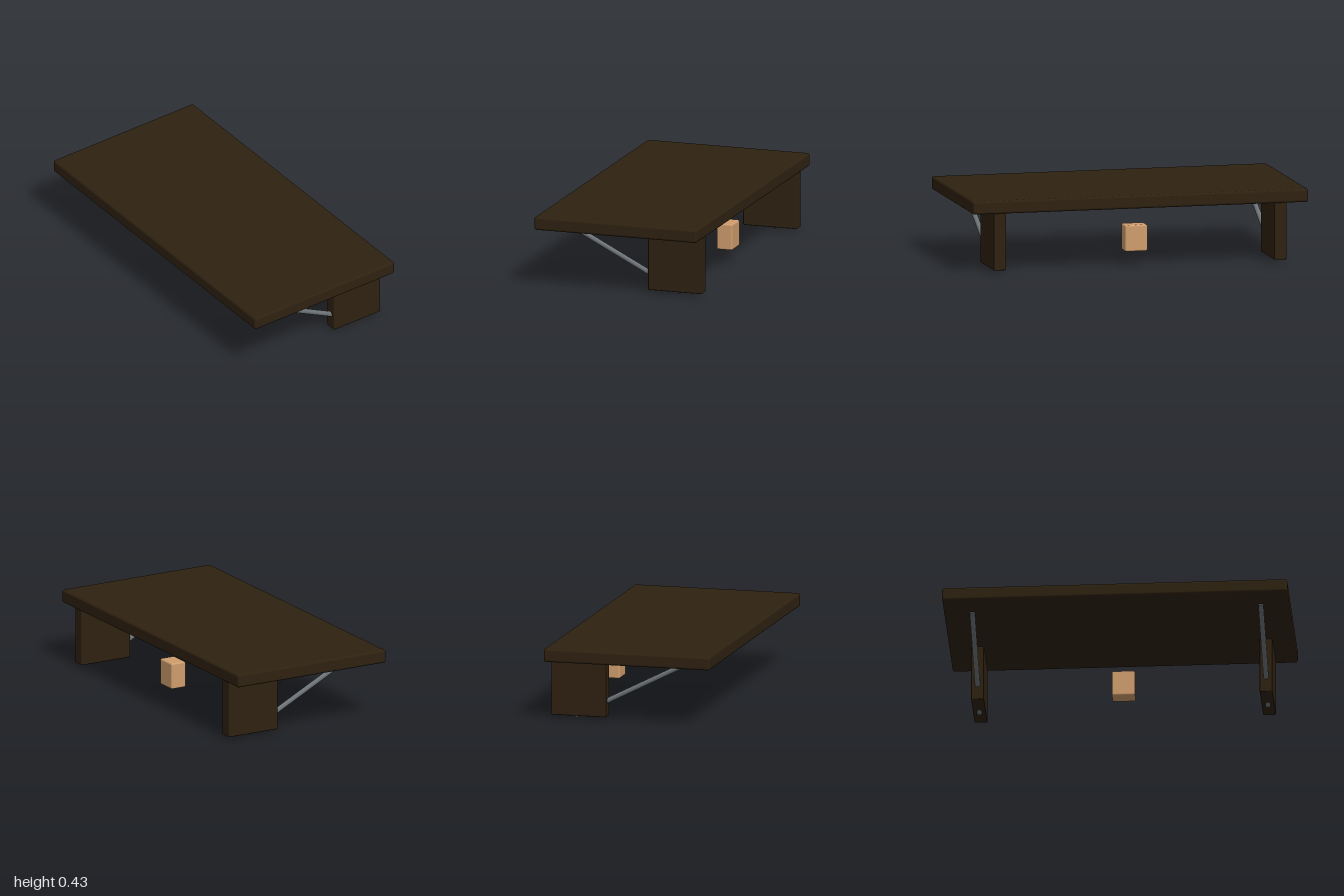
import * as THREE from 'three';
import { RoundedBoxGeometry } from 'three/addons/geometries/RoundedBoxGeometry.js';

export function createModel() {
  const model = new THREE.Group();
  model.name = 'wallShelf';

  const material = (name, color) => {
    const m = new THREE.MeshStandardMaterial({ color });
    m.name = name;
    return m;
  };
  const darkWood = material('darkWood', 0x2e2110);
  const paleWood = material('paleWood', 0xcf9d6d);
  const steel = material('steel', 0x6c7276);

  // Softly rounded block given by its minimum and maximum corners
  const block = (name, mat, min, max, radius) => {
    const size = max.map((v, i) => v - min[i]);
    const mesh = new THREE.Mesh(new RoundedBoxGeometry(...size, 3, radius), mat);
    mesh.position.set(...max.map((v, i) => (v + min[i]) / 2));
    mesh.name = name;
    model.add(mesh);
  };

  // Round bar between two points
  const bar = (name, from, to, radius) => {
    const dir = to.clone().sub(from);
    const mesh = new THREE.Mesh(new THREE.CylinderGeometry(radius, radius, dir.length(), 16), steel);
    mesh.position.copy(from).add(to).multiplyScalar(0.5);
    mesh.quaternion.setFromUnitVectors(new THREE.Vector3(0, 1, 0), dir.normalize());
    mesh.name = name;
    model.add(mesh);
  };

  // Top board
  block('topBoard', darkWood, [-1, 0.35, -0.498], [1, 0.428, 0.498], 0.014);

  // Rear supports, each with a slanted brace running through it
  for (const [side, s] of [['left', 1], ['right', -1]]) {
    const x = s * 0.836;
    block(side + 'Support', darkWood, [x - 0.037, 0.017, -0.485], [x + 0.037, 0.36, -0.156], 0.006);
    bar(side + 'Brace', new THREE.Vector3(x, 0.0133, -0.347), new THREE.Vector3(x, 0.354, 0.321), 0.015);
  }

  // Small block hanging free between the supports
  block('smallBlock', paleWood, [-0.067, 0.083, -0.392], [0.067, 0.238, -0.295], 0.01);

  return model;
}
